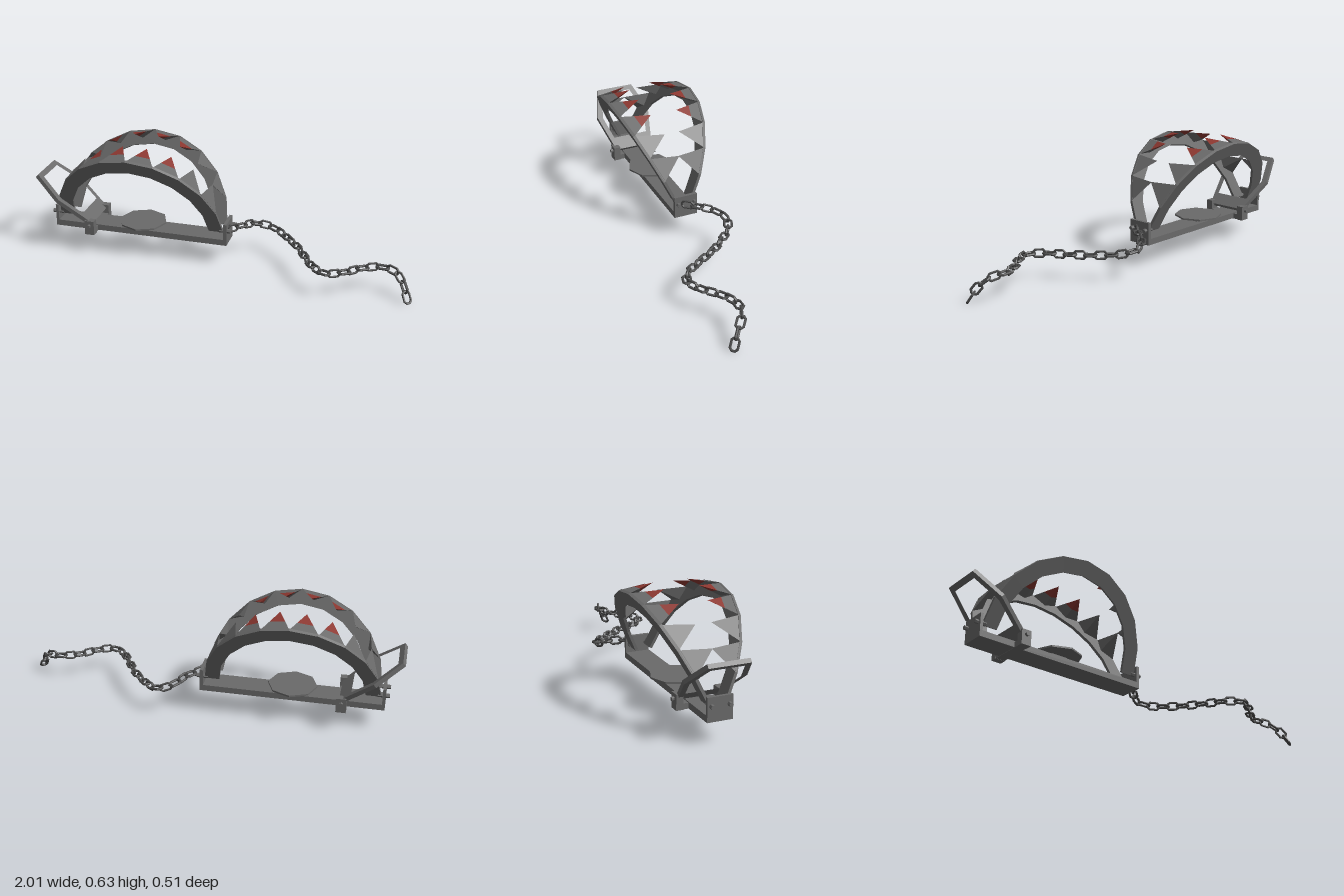
import * as THREE from 'three';
import { ConvexGeometry } from 'three/addons/geometries/ConvexGeometry.js';

const CX = -0.445, CZ = -0.016; // middle of the trap

export function createModel() {
  const mat = (name, color) => {
    const m = new THREE.MeshStandardMaterial({ color, flatShading: true });
    m.name = name;
    return m;
  };
  const steel = mat('steel', 0x6a6a6a);
  const iron = mat('darkIron', 0x4a4a4a);
  const red = mat('driedRed', 0x8c3730);

  const model = new THREE.Group();
  model.name = 'jawTrap';
  const add = (parent, name, geo, material, x = 0, y = 0, z = 0) => {
    const m = new THREE.Mesh(geo, material);
    m.name = name;
    m.position.set(x, y, z);
    parent.add(m);
    return m;
  };
  const box = (name, x0, x1, y0, y1, z0, z1) =>
    add(model, name, new THREE.BoxGeometry(x1 - x0, y1 - y0, z1 - z0), steel,
      (x0 + x1) / 2, (y0 + y1) / 2, CZ + (z0 + z1) / 2);

  // Base bar with upright end plates
  box('baseBar', -0.92, 0.03, 0.123, 0.155, -0.064, 0.064);
  box('endPlateRight', -0.92, -0.905, 0.123, 0.242, -0.064, 0.064);
  box('endPlateLeft', 0.013, 0.03, 0.123, 0.242, -0.064, 0.064);

  // Hinge pins through the end plates
  for (const x of [-0.91, 0.018]) {
    for (const s of [-1, 1]) {
      const pin = add(model, 'hingePin', new THREE.CylinderGeometry(0.011, 0.011, 0.06, 6), steel, x, 0.2, CZ + s * 0.045);
      pin.rotation.z = Math.PI / 2;
    }
  }

  // Trigger pan on its stem
  box('panStem', -0.495, -0.4, 0.155, 0.178, -0.03, 0.03);
  add(model, 'triggerPan', new THREE.CylinderGeometry(0.127, 0.127, 0.009, 8), steel, CX, 0.181, CZ);

  // Latch bracket: cross bar and two lugs with bolts
  box('bracketBar', -0.73, -0.682, 0.121, 0.15, -0.125, 0.125);
  for (const s of [-1, 1]) {
    box('bracketLug', -0.732, -0.68, 0.12, 0.198, s * 0.108 - 0.018, s * 0.108 + 0.018);
    const bolt = add(model, 'bracketBolt', new THREE.CylinderGeometry(0.01, 0.01, 0.02, 6), steel, -0.706, 0.172, CZ + s * 0.13);
    bolt.rotation.x = Math.PI / 2;
  }

  // Slanted lever frame, drawn in its own plane (u up the slope, v across)
  const half = [[0, 0.108], [0.215, 0.157], [0.385, 0.105]];
  const halfHole = [[0.075, 0.098], [0.21, 0.127], [0.355, 0.083]];
  const mirrored = pts => [...pts, ...pts.map(([u, v]) => [u, -v]).reverse()].map(([u, v]) => new THREE.Vector2(u, v));
  const frame = new THREE.Shape(mirrored(half));
  frame.holes.push(new THREE.Path(mirrored(halfHole)));
  const leverGeo = new THREE.ExtrudeGeometry(frame, { depth: 0.022, bevelEnabled: false });
  leverGeo.translate(0, 0, -0.011).rotateX(-Math.PI / 2).rotateY(Math.PI);
  const lever = add(model, 'leverFrame', leverGeo, steel, -0.7, 0.172, CZ);
  lever.rotation.z = -0.695;

  // Jaws: a half ring plate with teeth curling in from the rim
  const STEP = Math.PI / 10;
  const arc = (rx, ry, i) => new THREE.Vector2(rx * Math.cos(i * STEP), ry * Math.sin(i * STEP));
  const ring = [];
  for (let i = 0; i <= 10; i++) ring.push(arc(0.452, 0.463, i));
  for (let i = 10; i >= 0; i--) ring.push(arc(0.375, 0.385, i));
  const plateGeo = new THREE.ExtrudeGeometry(new THREE.Shape(ring), { depth: 0.015, bevelEnabled: false });
  plateGeo.translate(0, 0, -0.015);

  const buildJaw = name => {
    const jaw = new THREE.Group();
    jaw.name = name;
    add(jaw, 'jawPlate', plateGeo, steel);
    for (let i = 1; i < 9; i++) {
      const at = (r, k, z) => { const p = arc(r * 0.98, r, k); return new THREE.Vector3(p.x, p.y, z); };
      const base = [at(0.462, i, -0.008), at(0.462, i + 1, -0.008), at(0.415, i + 0.5, -0.012)];
      const tip = at(i === 1 || i === 8 ? 0.44 : 0.424, i + 0.5, -0.147);
      if (i >= 3 && i <= 6) {
        // stained outer half
        const cut = base.map(p => p.clone().lerp(tip, 0.45));
        add(jaw, 'toothRoot', new ConvexGeometry([...base, ...cut]), steel);
        add(jaw, 'toothStainedTip', new ConvexGeometry([...cut, tip]), red);
      } else {
        add(jaw, 'tooth', new ConvexGeometry([...base, tip]), steel);
      }
    }
    jaw.rotation.x = 0.436;
    jaw.position.z = 0.046;
    const side = new THREE.Group();
    side.name = name + 'Mount';
    side.position.set(CX, 0.19, CZ);
    side.add(jaw);
    model.add(side);
    return side;
  };
  buildJaw('frontJaw');
  buildJaw('backJaw').rotation.y = Math.PI;

  // Chain: stretched octagonal links along a winding path, each rolled a quarter turn
  const path = new THREE.CatmullRomCurve3([
    [0.05, 0.2, -0.016], [0.1, 0.198, -0.075], [0.14, 0.185, -0.13], [0.2, 0.165, -0.165],
    [0.27, 0.15, -0.14], [0.35, 0.143, -0.06], [0.4, 0.142, 0], [0.46, 0.14, 0.1],
    [0.52, 0.14, 0.19], [0.59, 0.14, 0.23], [0.67, 0.14, 0.195], [0.75, 0.14, 0.13],
    [0.84, 0.14, 0.093], [0.915, 0.13, 0.11], [0.96, 0.085, 0.15], [0.982, 0.035, 0.176],
  ].map(p => new THREE.Vector3(...p)));
  const linkGeo = new THREE.TorusGeometry(0.0205, 0.0065, 6, 8);
  linkGeo.rotateZ(Math.PI / 8);
  const pos = linkGeo.attributes.position;
  for (let i = 0; i < pos.count; i++) pos.setX(i, pos.getX(i) + Math.sign(pos.getX(i)) * 0.011);
  const chain = new THREE.Group();
  chain.name = 'chain';
  model.add(chain);
  const count = Math.round(path.getLength() / 0.053);
  const up = new THREE.Vector3(0, 1, 0);
  for (let i = 0; i <= count; i++) {
    const t = path.getTangentAt(i / count);
    const side = new THREE.Vector3().crossVectors(t, up).normalize();
    const top = new THREE.Vector3().crossVectors(side, t);
    const link = add(chain, 'chainLink', linkGeo, iron);
    link.quaternion.setFromRotationMatrix(new THREE.Matrix4().makeBasis(t, top, side));
    link.rotateX(i % 2 ? Math.PI / 2 : 0);
    link.position.copy(path.getPointAt(i / count));
  }
  return model;
}
